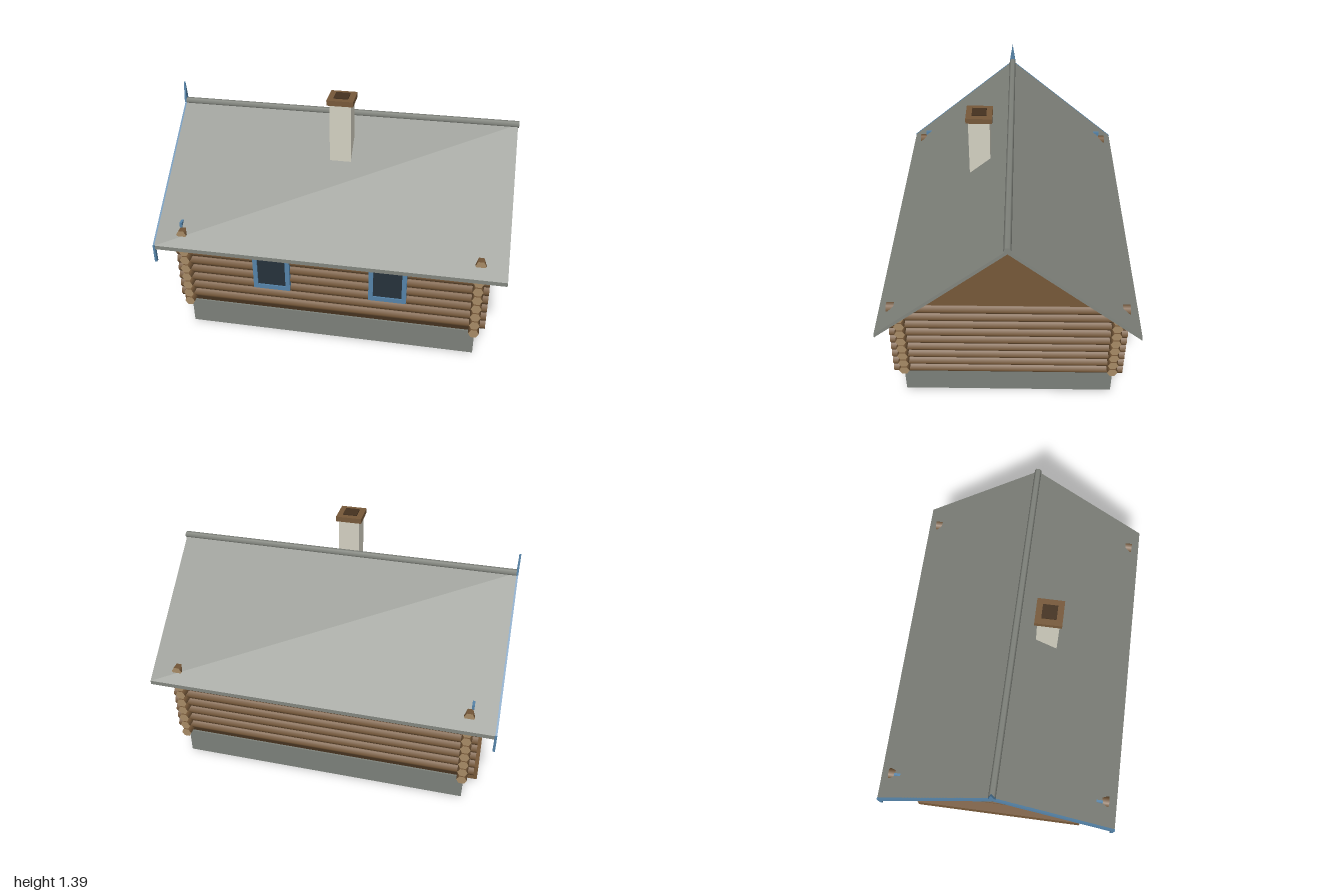
import * as THREE from 'three';

const mat = (name, color, side = THREE.FrontSide) => {
  const m = new THREE.MeshStandardMaterial({ color, side });
  m.name = name;
  return m;
};

export function createModel() {
  const house = new THREE.Group();
  house.name = 'logHouse';

  const wood = mat('brown wood', 0x765839);
  const woodEnd = mat('cut log end', 0xa68a65);
  const darkWood = mat('dark wood', 0x44311f);
  const stone = mat('foundation grey', 0x7b7f79);
  const roofGrey = mat('roof grey', 0x82857e);
  const blue = mat('blue trim', 0x5583a8);
  const glass = mat('dark glass', 0x25313b);
  const cream = mat('chimney cream', 0xd3d0c1);

  const add = (name, geometry, material, parent = house) => {
    const m = new THREE.Mesh(geometry, material);
    m.name = name;
    parent.add(m);
    return m;
  };
  // Box given by its min and max corners
  const box = (name, x0, x1, y0, y1, z0, z1, material, parent) => {
    const m = add(name, new THREE.BoxGeometry(x1 - x0, y1 - y0, z1 - z0), material, parent);
    m.position.set((x0 + x1) / 2, (y0 + y1) / 2, (z0 + z1) / 2);
    return m;
  };
  const shapeOf = (pts) => new THREE.Shape(pts.map(([a, b]) => new THREE.Vector2(a, b)));
  const mirrored = (half) => [...half, ...half.map(([a, b]) => [-a, b]).reverse()];
  const rectHole = (w, y0, y1) => new THREE.Path(
    [[-w, y0], [-w, y1], [w, y1], [w, y0]].map(([a, b]) => new THREE.Vector2(a, b)));
  // Profile in the z-y plane, extruded from x1 down to x0
  const profile = (name, shape, x0, x1, material, parent) => {
    const g = new THREE.ExtrudeGeometry(shape, { depth: x1 - x0, bevelEnabled: false });
    g.rotateY(-Math.PI / 2);
    g.translate(x1, 0, 0);
    return add(name, g, material, parent);
  };

  // Foundation and inner walls
  box('foundation', -0.85, 0.85, 0, 0.16, -0.6, 0.6, stone);
  box('innerWalls', -0.84, 0.84, 0.16, 0.68, -0.59, 0.59, darkWood);

  // Interlocking log walls with pale cut ends
  const pitch = 0.0592, logMats = [wood, woodEnd, woodEnd];
  const longLog = new THREE.CylinderGeometry(0.03, 0.03, 1.81, 6).rotateZ(Math.PI / 2);
  const shortLog = new THREE.CylinderGeometry(0.03, 0.03, 1.31, 6)
    .rotateY(Math.PI / 2).rotateX(Math.PI / 2);
  for (const s of [-1, 1]) {
    for (let i = 0; i < 8; i++) add('longLog', longLog, logMats).position.set(0, 0.22 + i * pitch, s * 0.59);
    for (let i = 0; i < 9; i++) add('shortLog', shortLog, logMats).position.set(s * 0.843, 0.19 + i * pitch, 0);
  }

  // Gables and roof slopes
  const half = 0.708, ridgeY = 1.205, eaveY = 0.61, t = 0.024;
  const slope = (ridgeY - eaveY) / half;
  const roofY = (z) => ridgeY - slope * z;
  profile('gable', shapeOf([[-0.605, 0.66], [0.605, 0.66], [0.605, roofY(0.605) - 0.012], [0, ridgeY - 0.012],
    [-0.605, roofY(0.605) - 0.012]]), -0.85, 0.85, wood);
  const band = (depth) => shapeOf([[half, eaveY], [0, ridgeY], [-half, eaveY],
    [-half, eaveY - depth], [0, ridgeY - depth], [half, eaveY - depth]]);
  profile('roof', band(t), -0.99, 0.99, roofGrey);
  const ridge = add('ridgeCap', new THREE.CylinderGeometry(0.02, 0.02, 1.985, 6).rotateZ(Math.PI / 2), roofGrey);
  ridge.position.set(0.003, 1.205, 0);

  // Blue trim of the decorated gable
  profile('bargeBoard', band(0.055), -1, -0.989, blue);
  profile('finial', shapeOf([[-0.02, 1.2], [0.02, 1.2], [0.012, 1.25], [0, 1.325], [-0.012, 1.25]]), -1, -0.989, blue);
  for (const s of [-1, 1]) {
    const a = s * 0.692, b = s * 0.71;
    box('bargeDrop', -1, -0.987, 0.5, 0.612, Math.min(a, b), Math.max(a, b), blue);
  }
  box('gableBoard', -0.863, -0.849, 0.685, 0.72, -0.615, 0.615, blue);

  // Plain windows on the front wall
  for (const cx of [-0.333, 0.342]) {
    const w = new THREE.Group();
    w.name = 'frontWindow';
    w.position.set(cx, 0, 0.6);
    house.add(w);
    const s = shapeOf([[-0.108, 0.33], [0.108, 0.33], [0.108, 0.6], [-0.108, 0.6]]);
    s.holes.push(rectHole(0.082, 0.357, 0.572));
    add('windowFrame', new THREE.ExtrudeGeometry(s, { depth: 0.032, bevelEnabled: false }), blue, w);
    box('windowGlass', -0.085, 0.085, 0.35, 0.575, 0.016, 0.024, glass, w);
  }

  // Carved windows with glazing bars on the decorated gable
  const carvedWindow = (name, z, y0, hw, h, xWall) => {
    const w = new THREE.Group();
    w.name = name;
    w.position.set(xWall, y0, z);
    house.add(w);
    const top = h * 0.8;
    const s = shapeOf(mirrored([
      [hw * 0.75, 0.022], [hw * 0.95, 0], [hw * 1.1, 0.022], [hw * 1.1, 0.042], [hw, 0.05],
      [hw, top], [hw * 1.2, top + 0.008], [hw * 1.2, top + 0.026], [hw * 0.75, top + 0.026],
      [hw * 0.4, h - 0.02], [hw * 0.15, h]]));
    s.holes.push(rectHole(hw * 0.7, 0.06, top - 0.015));
    profile('carvedFrame', s, -0.02, 0.01, blue, w);
    box('carvedGlass', -0.008, 0, 0.05, top - 0.01, -hw * 0.75, hw * 0.75, glass, w);
    box('uprightBar', -0.015, -0.007, 0.06, top - 0.015, -0.005, 0.005, cream, w);
    const barY = 0.06 + (top - 0.075) * 0.66;
    box('crossBar', -0.015, -0.007, barY - 0.005, barY + 0.005, -hw * 0.7, hw * 0.7, cream, w);
  };
  for (const z of [-0.34, 0.34]) carvedWindow('sideWindow', z, 0.29, 0.105, 0.33, -0.868);
  carvedWindow('atticWindow', 0, 0.77, 0.08, 0.23, -0.85);

  // Bench beam along the decorated side
  box('benchBeam', -0.928, -0.87, 0.09, 0.187, -0.53, 0.53, wood);

  // Chimney with cap and flue
  box('chimney', -0.058, 0.064, 0.95, 1.352, 0.117, 0.24, cream);
  box('chimneyCap', -0.072, 0.078, 1.35, 1.38, 0.102, 0.253, wood);
  box('flue', -0.038, 0.044, 1.375, 1.386, 0.136, 0.219, darkWood);

  return house;
}
